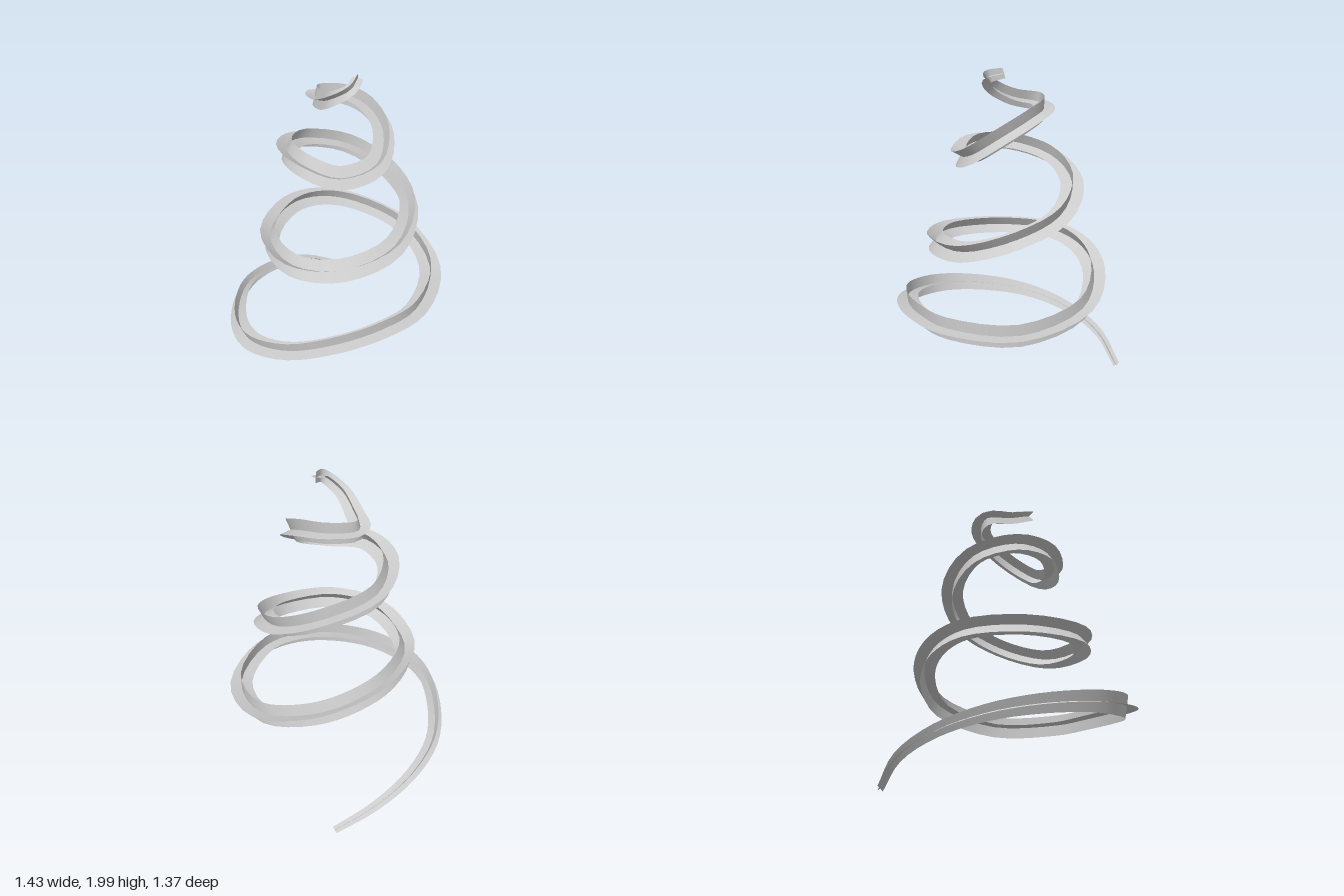
import * as THREE from 'three';

// Centre line of the climbing spiral, about eight points per turn
const PATH = [
  [0.59, 0.025, -0.49], [0.37, 0.14, -0.61], [0.08, 0.225, -0.655], [-0.2, 0.285, -0.6],
  [-0.42, 0.335, -0.45], [-0.6, 0.38, -0.23], [-0.655, 0.415, -0.03], [-0.59, 0.475, 0.22],
  [-0.4, 0.54, 0.43], [-0.16, 0.585, 0.57], [0.1, 0.6, 0.615],
  [0.48, 0.605, 0.43], [0.64, 0.67, 0.05], [0.52, 0.765, -0.26], [0.33, 0.835, -0.41],
  [0.08, 0.875, -0.45], [-0.24, 0.88, -0.31], [-0.385, 0.92, 0.05], [-0.25, 0.955, 0.32],
  [0.08, 1.005, 0.435], [0.36, 1.11, 0.31], [0.465, 1.2, 0.05], [0.37, 1.32, -0.21],
  [0.1, 1.415, -0.355], [-0.13, 1.485, -0.24], [-0.215, 1.51, 0], [-0.14, 1.485, 0.2],
  [0.04, 1.54, 0.305], [0.19, 1.65, 0.22], [0.25, 1.725, 0.05], [0.22, 1.755, -0.12],
  [0.1, 1.765, -0.22], [0.01, 1.8, -0.1], [-0.035, 1.87, 0.03], [0.01, 1.945, 0.13], [0.1, 1.972, 0.1],
].map((p) => new THREE.Vector3(...p));
const LEVEL = 10; // path point where one strip stands exactly upright
const SEGMENTS = 140;

// Half-width of the strips: tapers towards both ends
const WIDTHS = [[0, 0.022], [2, 0.036], [4, 0.052], [6, 0.065], [9, 0.07], [29, 0.068], [31, 0.06], [33, 0.045], [35, 0.03]];
function halfWidth(k) {
  for (let i = 1; i < WIDTHS.length; i++) {
    const [a, wa] = WIDTHS[i - 1], [b, wb] = WIDTHS[i];
    if (k <= b) return THREE.MathUtils.mapLinear(k, a, b, wa, wb);
  }
  return WIDTHS[WIDTHS.length - 1][1];
}

// Twist-free frames along the path, all rolled so the strip is upright at LEVEL
function makeFrames() {
  const curve = new THREE.CatmullRomCurve3(PATH, false, 'centripetal');
  const last = PATH.length - 1;
  const frames = [];
  let normal = new THREE.Vector3(0, 1, 0);
  for (let i = 0; i <= SEGMENTS; i++) {
    const t = i / SEGMENTS;
    const tangent = curve.getTangent(t);
    if (i > 0) normal = normal.clone().applyQuaternion(
      new THREE.Quaternion().setFromUnitVectors(frames[i - 1].tangent, tangent));
    normal.addScaledVector(tangent, -normal.dot(tangent)).normalize();
    frames.push({ point: curve.getPoint(t), tangent, normal, width: halfWidth(t * last) });
  }
  const ref = frames[Math.round((LEVEL / last) * SEGMENTS)];
  const side = ref.tangent.clone().cross(ref.normal);
  const roll = Math.atan2(side.y, ref.normal.y);
  for (const f of frames) f.normal.applyAxisAngle(f.tangent, roll);
  return frames;
}

// A thin strip swept along the frames, turned by angle around the path
function makeStrip(frames, angle, name) {
  const positions = [], index = [];
  frames.forEach((f, i) => {
    const across = f.normal.clone().applyAxisAngle(f.tangent, angle);
    for (const s of [-1, 0, 1]) {
      const p = f.point.clone().addScaledVector(across, s * f.width);
      positions.push(p.x, p.y, p.z);
    }
    if (i === 0) return;
    for (let j = 0; j < 2; j++) {
      const a = (i - 1) * 3 + j, b = a + 3;
      index.push(a, a + 1, b, b, a + 1, b + 1);
    }
  });
  const geometry = new THREE.BufferGeometry();
  geometry.setAttribute('position', new THREE.Float32BufferAttribute(positions, 3));
  geometry.setIndex(index);
  geometry.computeVertexNormals();
  const mesh = new THREE.Mesh(geometry, new THREE.MeshStandardMaterial({ color: 0xcccccc, side: THREE.DoubleSide }));
  mesh.name = name;
  return mesh;
}

export function createModel() {
  const group = new THREE.Group();
  group.name = 'spiralRibbon';
  const frames = makeFrames();
  // Two strips crossing at right angles
  group.add(makeStrip(frames, 0, 'uprightStrip'), makeStrip(frames, Math.PI / 2, 'flatStrip'));
  return group;
}
